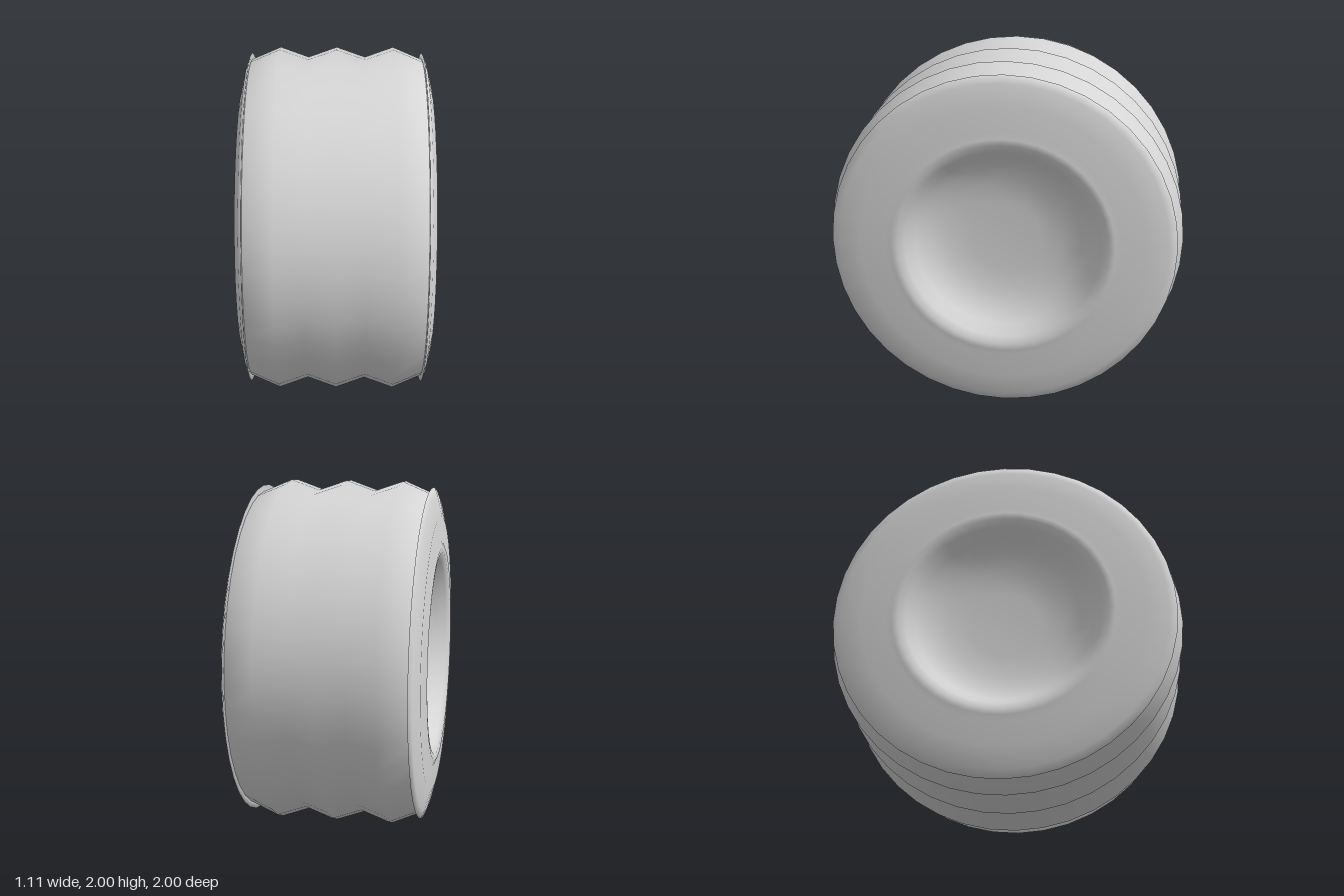
import * as THREE from 'three';

const SIDES = 40;

// Revolve a list of [offset along axle, radius] pairs around the x axis
function revolve(profile, material, name) {
  const points = profile.map(([x, r]) => new THREE.Vector2(r, x));
  const geometry = new THREE.LatheGeometry(points, SIDES);
  geometry.rotateZ(-Math.PI / 2);
  const mesh = new THREE.Mesh(geometry, material);
  mesh.name = name;
  return mesh;
}

export function createModel() {
  const rubber = new THREE.MeshStandardMaterial({ color: 0xd6d6d6 });
  rubber.name = 'light grey';

  const wheel = new THREE.Group();
  wheel.name = 'wheel';
  wheel.position.y = 1;

  // Tread with three ridges and two grooves
  wheel.add(revolve([
    [-0.49, 0.93], [-0.325, 1], [-0.163, 0.943], [0, 1],
    [0.163, 0.943], [0.325, 1], [0.49, 0.93],
  ], rubber, 'tread'));

  // Side wall: lip, rounded shoulder, flat ring and shallow dished hub
  const wall = [
    [0.49, 0.93], [0.492, 0.966], [0.51, 0.92], [0.539, 0.8],
    [0.541, 0.66], [0.554, 0.625], [0.55, 0.59], [0.53, 0.55],
    [0.465, 0.5], [0.41, 0.43], [0.375, 0.33], [0.36, 0.2], [0.36, 0],
  ];
  for (const side of [1, -1]) {
    const cap = revolve(wall, rubber, side > 0 ? 'leftSideWall' : 'rightSideWall');
    if (side < 0) cap.rotation.y = Math.PI;
    wheel.add(cap);
  }

  const model = new THREE.Group();
  model.name = 'wheelModel';
  model.add(wheel);
  return model;
}
